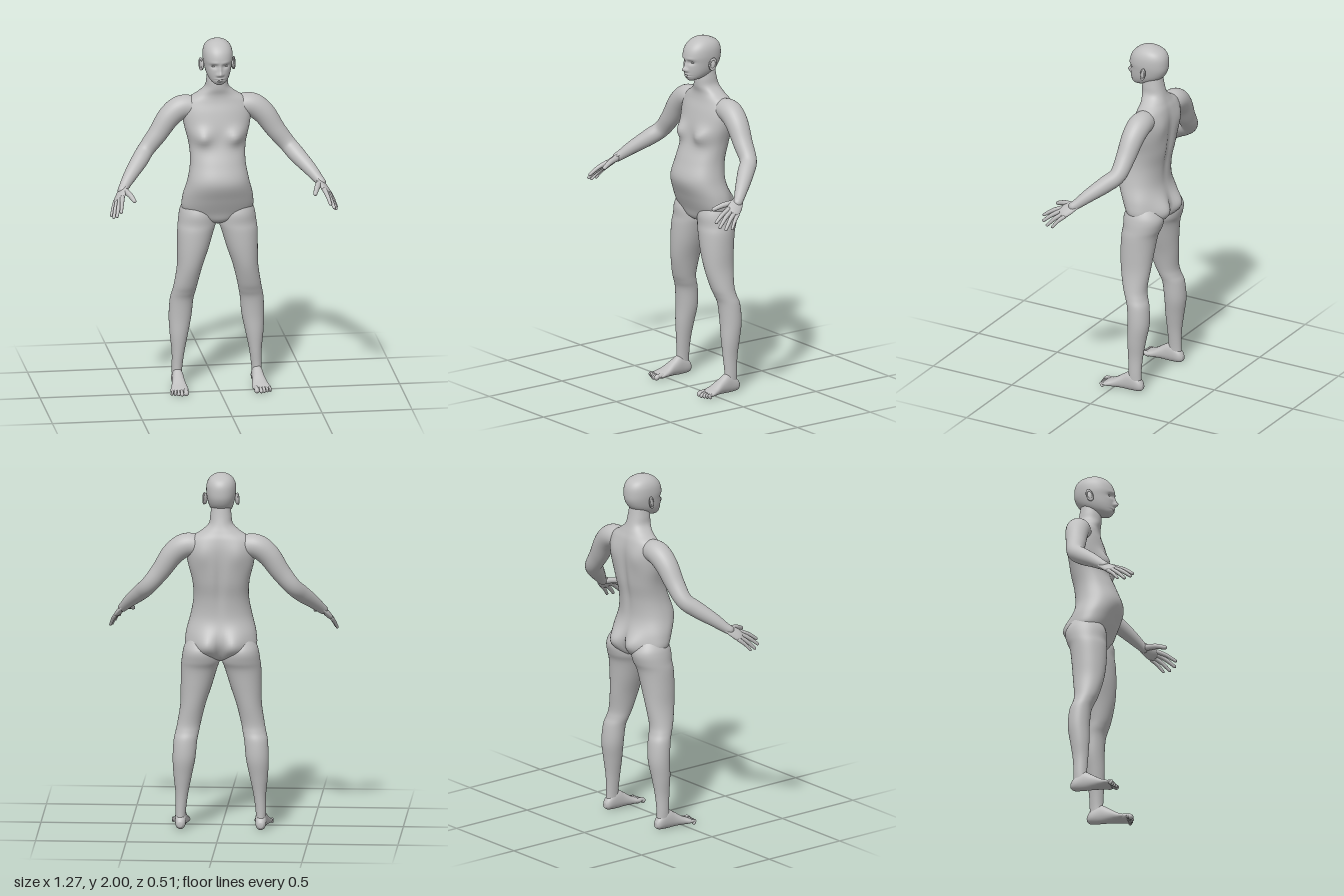
import * as THREE from 'three';

// Smooth interpolation through rows of numbers
function spline(rows, steps) {
  const out = [], at = i => rows[Math.min(rows.length - 1, Math.max(0, i))];
  for (let i = 0; i < rows.length - 1; i++) {
    for (let k = 0; k < steps; k++) {
      const t = k / steps;
      out.push(rows[i].map((b, n) => {
        const a = at(i - 1)[n], c = at(i + 1)[n], d = at(i + 2)[n];
        return b + 0.5 * t * (c - a + t * (2 * a - 5 * b + 4 * c - d + t * (3 * (b - c) + d - a)));
      }));
    }
  }
  out.push(rows[rows.length - 1]);
  return out;
}

// Closed skin over a list of rings of Vector3, with a pole at each end
function skin(rings) {
  const n = rings[0].length, pos = [], idx = [];
  rings.forEach(r => r.forEach(p => pos.push(p.x, p.y, p.z)));
  for (const r of [rings[0], rings[rings.length - 1]]) {
    const c = r.reduce((s, p) => s.add(p), new THREE.Vector3()).divideScalar(n);
    pos.push(c.x, c.y, c.z);
  }
  const first = rings.length * n, last = first - n;
  for (let j = 0; j < n; j++) {
    const k = (j + 1) % n;
    for (let i = 0; i < rings.length - 1; i++) {
      const a = i * n + j, b = i * n + k;
      idx.push(a, b, b + n, a, b + n, a + n);
    }
    idx.push(first, k, j, first + 1, last + j, last + k);
  }
  const g = new THREE.BufferGeometry();
  g.setAttribute('position', new THREE.Float32BufferAttribute(pos, 3));
  g.setIndex(idx);
  g.computeVertexNormals();
  return g;
}

// Rows [y, xMin, xMax, zFront, zBack]; bumps [side, x, y, sizeX, sizeY, dz] swell the front (1) or back (-1).
// With alongZ the rows read [z, xMin, xMax, yTop, yBottom].
function loft(rows, { cols = 48, steps = 5, power = 2.2, bumps = [], alongZ = false } = {}) {
  const shape = v => Math.sign(v) * Math.abs(v) ** (2 / power);
  return skin(spline(rows, steps).map(([h, x0, x1, f, b]) => Array.from({ length: cols }, (_, j) => {
    const a = j / cols * Math.PI * 2, s = alongZ ? Math.sin(a) : -Math.sin(a);
    const x = (x0 + x1) / 2 + (x1 - x0) / 2 * shape(Math.cos(a));
    let d = (f + b) / 2 + (f - b) / 2 * shape(s);
    for (const [side, bx, by, sx, sy, dz] of bumps) {
      d += dz * Math.max(0, s * side) ** 0.5 * Math.exp(-(((Math.abs(x) - bx) / sx) ** 2) - ((h - by) / sy) ** 2);
    }
    return alongZ ? new THREE.Vector3(x, d, h) : new THREE.Vector3(x, h, d);
  })));
}

// Round-ended limb: rows [x, y, z, radius], flattened across the side direction
function limb(rows, { side = [0, 0, 1], flat = 1, cols = 16, steps = 5 } = {}) {
  const s = spline(rows, steps), rings = [];
  const c = s.map(r => new THREE.Vector3(r[0], r[1], r[2]));
  s.forEach((row, i) => {
    const t = c[Math.min(i + 1, c.length - 1)].clone().sub(c[Math.max(i - 1, 0)]).normalize();
    const u = new THREE.Vector3(...side);
    u.addScaledVector(t, -u.dot(t)).normalize();
    const v = t.clone().cross(u);
    const ring = (shift, r) => rings.push(Array.from({ length: cols }, (_, j) => {
      const a = j / cols * Math.PI * 2;
      return c[i].clone().addScaledVector(t, shift).addScaledVector(u, r * Math.cos(a)).addScaledVector(v, r * flat * Math.sin(a));
    }));
    const r = row[3], cap = [0.35, 0.7, 1.05, 1.4];
    if (i === 0) [...cap].reverse().forEach(a => ring(-r * flat * Math.sin(a), r * Math.cos(a)));
    ring(0, r);
    if (i === s.length - 1) cap.forEach(a => ring(r * flat * Math.sin(a), r * Math.cos(a)));
  });
  return skin(rings);
}

function mirrored(geometry) {
  const g = geometry.clone().scale(-1, 1, 1), ix = g.index.array;
  for (let i = 0; i < ix.length; i += 3) [ix[i], ix[i + 1]] = [ix[i + 1], ix[i]];
  g.computeVertexNormals();
  return g;
}

export function createModel() {
  const model = new THREE.Group();
  model.name = 'standingFigure';
  const skinGrey = new THREE.MeshStandardMaterial({ color: 0xbfbfbf });
  skinGrey.name = 'skinGrey';
  const add = (name, g) => {
    const m = new THREE.Mesh(g, skinGrey);
    m.name = name;
    model.add(m);
  };
  const pair = (name, g) => {
    add(name + 'Left', g);
    add(name + 'Right', mirrored(g));
  };
  const symmetric = rows => rows.map(([y, w, f, b]) => [y, -w, w, f, b]);

  // Torso and neck, with bust, buttocks, shoulder blades and spine groove
  add('torso', loft(symmetric([
    [0.945, 0.02, -0.06, -0.13], [0.97, 0.1, -0.02, -0.18], [1.02, 0.19, 0, -0.205],
    [1.1, 0.195, 0.035, -0.205], [1.2, 0.17, 0.07, -0.19], [1.3, 0.153, 0.04, -0.195],
    [1.4, 0.158, 0, -0.215], [1.5, 0.182, -0.015, -0.225], [1.58, 0.19, -0.035, -0.225],
    [1.64, 0.17, -0.055, -0.215], [1.68, 0.11, -0.06, -0.2], [1.72, 0.067, -0.052, -0.185],
    [1.77, 0.058, -0.052, -0.172], [1.84, 0.05, -0.06, -0.16],
  ]), {
    cols: 80, steps: 6, bumps: [
      [1, 0.095, 1.45, 0.05, 0.045, 0.038],
      [-1, 0.075, 1.045, 0.065, 0.07, -0.05],
      [-1, 0, 1.0, 0.018, 0.07, 0.025],
      [-1, 0, 1.42, 0.025, 0.17, 0.014],
      [-1, 0.1, 1.56, 0.05, 0.07, -0.012],
    ],
  }));

  // Head with brow, eye sockets, nose, lips and chin
  add('head', loft(symmetric([
    [1.757, 0.015, -0.002, -0.03], [1.77, 0.038, 0.012, -0.08], [1.79, 0.055, 0.018, -0.13],
    [1.82, 0.068, 0.022, -0.172], [1.86, 0.077, 0.022, -0.195], [1.9, 0.082, 0.025, -0.2],
    [1.94, 0.079, 0.013, -0.195], [1.97, 0.065, -0.012, -0.175], [1.99, 0.04, -0.045, -0.137],
    [2.0, 0.008, -0.08, -0.1],
  ]), {
    cols: 96, steps: 7, bumps: [
      [1, 0, 1.825, 0.012, 0.012, 0.02],
      [1, 0, 1.845, 0.009, 0.025, 0.012],
      [1, 0.014, 1.82, 0.008, 0.008, 0.008],
      [1, 0.033, 1.868, 0.02, 0.012, -0.012],
      [1, 0.03, 1.888, 0.025, 0.008, 0.004],
      [1, 0, 1.797, 0.022, 0.005, 0.008],
      [1, 0, 1.784, 0.02, 0.005, 0.008],
      [1, 0, 1.79, 0.025, 0.002, -0.005],
    ],
  }));
  pair('eye', new THREE.SphereGeometry(0.013, 20, 14).scale(1, 0.6, 1).translate(0.033, 1.868, -0.006));
  pair('ear', new THREE.SphereGeometry(1, 20, 14).scale(0.009, 0.033, 0.02)
    .rotateY(-0.4).rotateX(-0.2).translate(0.087, 1.853, -0.095));
  pair('earLobeRim', new THREE.TorusGeometry(0.018, 0.005, 8, 24).scale(0.9, 1.6, 1)
    .rotateY(Math.PI / 2 - 0.4).rotateX(-0.2).translate(0.092, 1.855, -0.097));

  // Legs, from inside the hips down to the ankles
  pair('leg', loft([
    [1.1, 0.06, 0.165, -0.04, -0.17], [1.04, 0.02, 0.198, -0.012, -0.215], [1.0, 0.008, 0.21, 0, -0.228],
    [0.95, 0.006, 0.217, 0, -0.217], [0.9, 0.022, 0.222, 0.005, -0.198], [0.8, 0.052, 0.223, 0.005, -0.185],
    [0.7, 0.085, 0.225, -0.005, -0.175], [0.6, 0.11, 0.24, -0.03, -0.165], [0.55, 0.12, 0.25, -0.05, -0.172],
    [0.5, 0.13, 0.26, -0.067, -0.188], [0.4, 0.14, 0.265, -0.075, -0.195], [0.3, 0.16, 0.26, -0.075, -0.18],
    [0.2, 0.18, 0.25, -0.08, -0.165], [0.1, 0.193, 0.25, -0.085, -0.16], [0.03, 0.196, 0.248, -0.075, -0.162],
  ].reverse(), { power: 2.05 }));

  // Feet and toes
  pair('foot', loft([
    [-0.175, 0.21, 0.235, 0.045, 0.018], [-0.155, 0.194, 0.249, 0.075, 0.004], [-0.1, 0.19, 0.253, 0.11, 0],
    [-0.05, 0.187, 0.258, 0.085, 0.002], [0, 0.18, 0.27, 0.053, 0.003], [0.03, 0.177, 0.278, 0.04, 0.004],
    [0.055, 0.181, 0.277, 0.028, 0.006],
  ], { alongZ: true, cols: 32 }));
  for (let i = 0; i < 5; i++) {
    const r = i ? 0.0105 - i * 0.0005 : 0.015, x = i ? 0.2 + i * 0.0175 : 0.194, tip = (i ? 0.097 : 0.09) - i * 0.008;
    pair('toe' + (i + 1), limb([[x, 0.02, 0.035, r], [x + 0.002, 0.022, 0.065, r * 0.85], [x + 0.003, r, tip - r, r]],
      { cols: 12 }));
  }

  // Arms
  pair('arm', limb([
    [0.1, 1.595, -0.135, 0.058], [0.19, 1.6, -0.138, 0.066], [0.262, 1.55, -0.133, 0.063],
    [0.33, 1.452, -0.125, 0.054], [0.395, 1.37, -0.113, 0.047], [0.44, 1.32, -0.062, 0.046],
    [0.5, 1.26, 0.01, 0.037], [0.54, 1.215, 0.06, 0.028], [0.553, 1.2, 0.08, 0.026],
  ], { cols: 32, steps: 7 }));

  // Hands
  const across = [0.5, -0.35, -0.75];
  pair('palm', limb([
    [0.542, 1.213, 0.062, 0.027], [0.558, 1.192, 0.09, 0.036], [0.572, 1.171, 0.118, 0.04], [0.58, 1.16, 0.132, 0.037],
  ], { side: across, flat: 0.42, cols: 24 }));
  const fingers = {
    indexFinger: [[0.562, 1.177, 0.15], [0.582, 1.122, 0.247]],
    middleFinger: [[0.574, 1.165, 0.145], [0.604, 1.098, 0.238]],
    ringFinger: [[0.587, 1.154, 0.13], [0.618, 1.083, 0.207]],
    littleFinger: [[0.597, 1.146, 0.112], [0.626, 1.083, 0.17]],
    thumb: [[0.537, 1.198, 0.1], [0.503, 1.172, 0.205]],
  };
  for (const [name, [a, b]] of Object.entries(fingers)) {
    const mid = a.map((v, i) => (v + b[i]) / 2 + (i === 1 ? 0.006 : 0));
    const r = name === 'thumb' ? 0.015 : name === 'littleFinger' ? 0.01 : 0.0115;
    pair(name, limb([[...a, r * 1.15], [...mid, r], [...b, r * 0.75]], { side: across, cols: 12 }));
  }
  return model;
}
